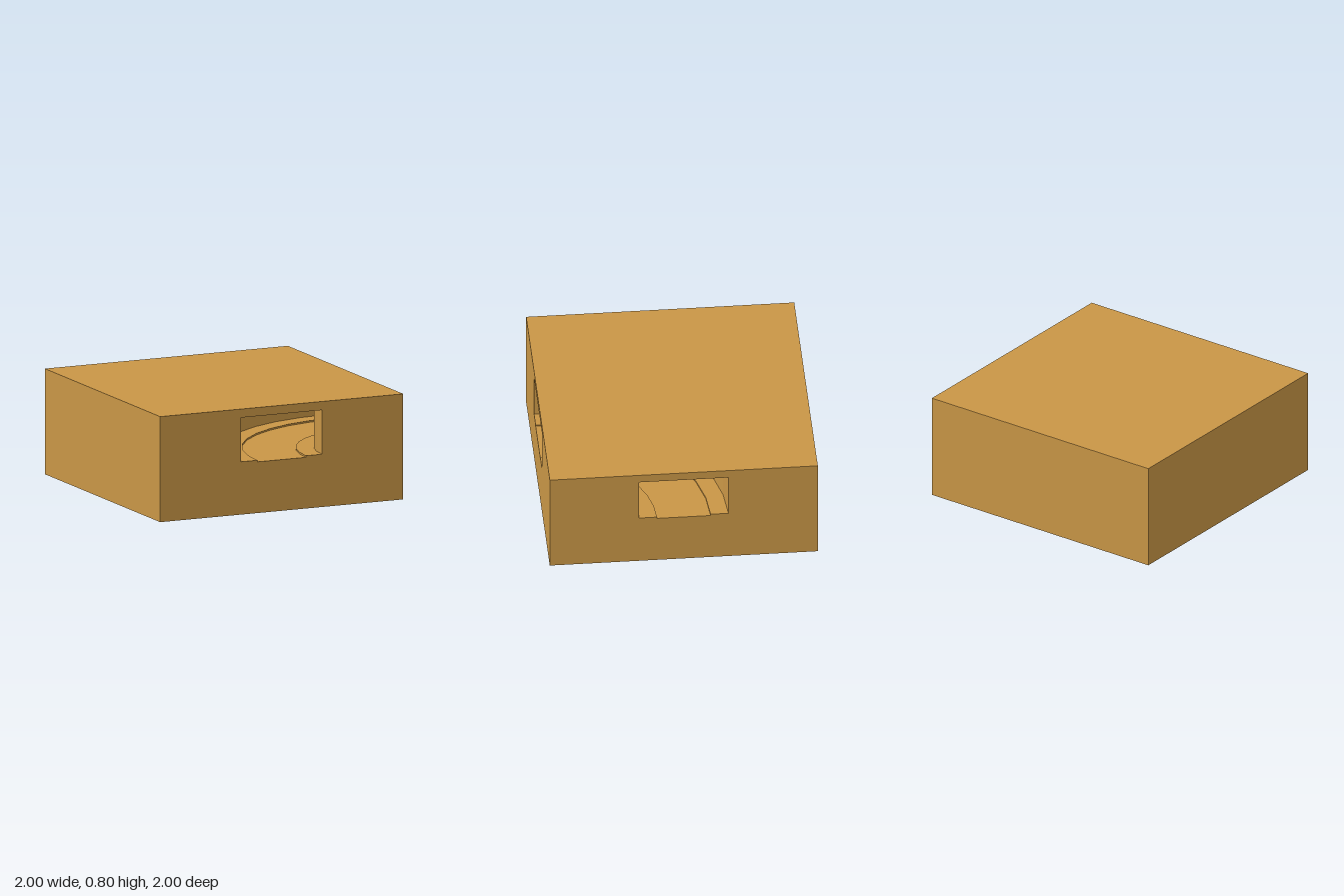
import * as THREE from 'three';

const HEIGHT = 0.8;

// Tunnel cross-section as [offset from the centre line, y], with a shallow groove in the floor
const TUNNEL = [
  [-0.333, 0.735], [-0.333, 0.4], [-0.2, 0.4], [-0.2, 0.388],
  [0.2, 0.388], [0.2, 0.4], [0.333, 0.4], [0.333, 0.735],
];

export function createModel() {
  const group = new THREE.Group();
  const material = new THREE.MeshStandardMaterial({
    color: 0xc99646, flatShading: true, side: THREE.DoubleSide,
  });

  function add(name, geometry) {
    const mesh = new THREE.Mesh(geometry, material);
    mesh.name = name;
    group.add(mesh);
    return mesh;
  }

  // Thin side walls, two of them pierced by a tunnel mouth
  function addWall(name, angle, open) {
    const shape = new THREE.Shape([
      new THREE.Vector2(-1, 0), new THREE.Vector2(1, 0),
      new THREE.Vector2(1, HEIGHT), new THREE.Vector2(-1, HEIGHT),
    ]);
    if (open) {
      shape.holes.push(new THREE.Path(TUNNEL.map(([x, y]) => new THREE.Vector2(x, y))));
    }
    add(name, new THREE.ShapeGeometry(shape).translate(0, 0, 1).rotateY(angle));
  }
  addWall('frontWall', 0, true);
  addWall('leftWall', Math.PI / 2, true);
  addWall('backWall', Math.PI, false);
  addWall('rightWall', -Math.PI / 2, false);

  // Top plate; the underside of the block stays open
  add('topPlate', new THREE.PlaneGeometry(2, 2).rotateX(-Math.PI / 2).translate(0, HEIGHT, 0));

  // Quarter-turn tunnel swept around the front left corner
  const profile = [...TUNNEL, TUNNEL[0]].map(([x, y]) => new THREE.Vector2(1 + x, y));
  add('curvedTunnel', new THREE.LatheGeometry(profile, 9, Math.PI, Math.PI / 2).translate(1, 0, 1));

  return group;
}
